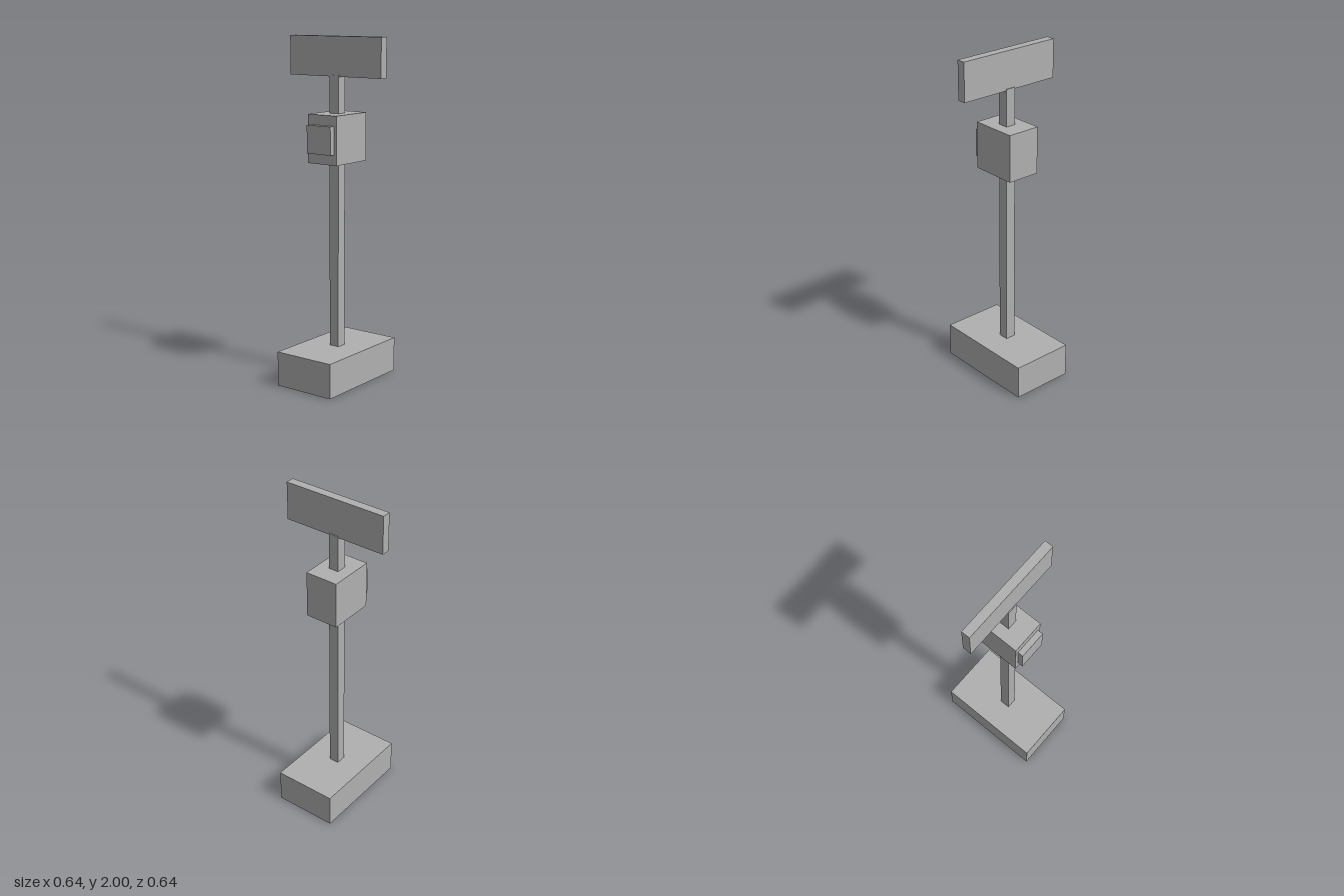
import * as THREE from 'three';

export function createModel() {
  const model = new THREE.Group();
  model.name = 'signPost';

  const grey = new THREE.MeshStandardMaterial({ color: 0xb0b0b0 });
  grey.name = 'plainGrey';

  // Box given by its lower and upper limits on each axis
  const addBox = (name, [x0, x1], [y0, y1], [z0, z1]) => {
    const mesh = new THREE.Mesh(new THREE.BoxGeometry(x1 - x0, y1 - y0, z1 - z0), grey);
    mesh.position.set((x0 + x1) / 2, (y0 + y1) / 2, (z0 + z1) / 2);
    mesh.name = name;
    model.add(mesh);
  };

  // Heavy foot and the square pole rising from it
  addBox('base', [-0.318, 0.318], [0, 0.203], [-0.19, 0.19]);
  addBox('pole', [-0.031, 0.031], [0.203, 1.785], [-0.031, 0.031]);

  // Housing around the pole with a raised panel on its right side
  addBox('housing', [-0.14, 0.14], [1.29, 1.568], [-0.101, 0.101]);
  addBox('sidePanel', [-0.173, -0.14], [1.35, 1.51], [-0.083, 0.083]);

  // Thin sign board across the top, running front to back
  addBox('signBoard', [-0.026, 0.026], [1.775, 2], [-0.319, 0.319]);

  return model;
}
